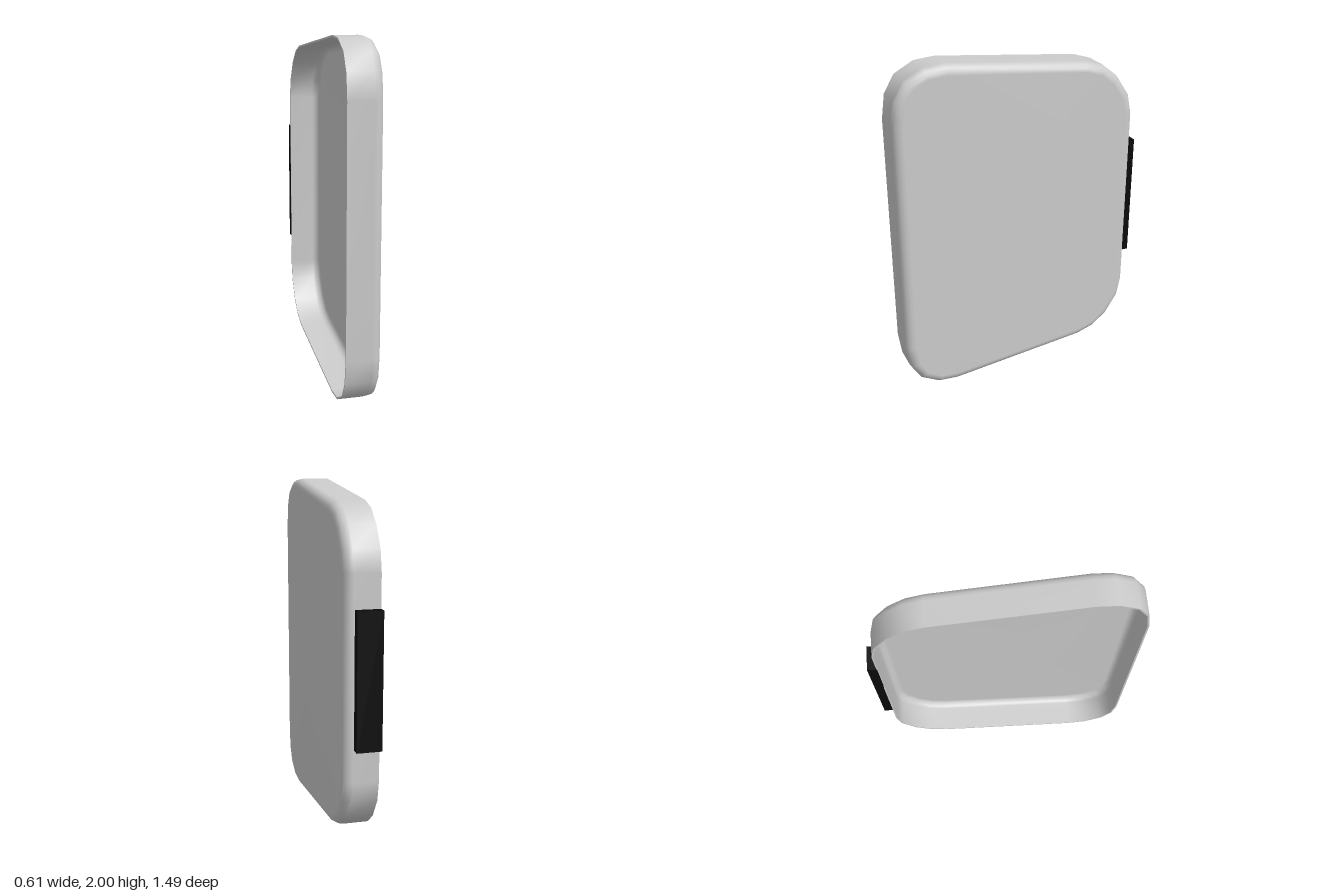
import * as THREE from 'three';

const DEPTH = 0.2, ROUND = 0.055, WALL = 0.01;

// Upper half of the rim outline as [along, height]; the lower half mirrors it about y = 1
const upper = [
  [0.73, 1.69], [0.71, 1.83], [0.65, 1.93], [0.54, 1.99], [0.42, 2.0],
  [-0.42, 1.91], [-0.53, 1.875], [-0.625, 1.8], [-0.705, 1.68], [-0.73, 1.56],
];
const outline = [...upper, ...upper.map(([u, y]) => [u, 2 - y]).reverse()]
  .map(([u, y]) => new THREE.Vector2(u, y));

// Outline moved inward by d, keeping its edges parallel
function inset(d) {
  const n = outline.length;
  return outline.map((p, i) => {
    const e0 = p.clone().sub(outline[(i + n - 1) % n]).normalize();
    const e1 = outline[(i + 1) % n].clone().sub(p).normalize();
    const n0 = new THREE.Vector2(-e0.y, e0.x), n1 = new THREE.Vector2(-e1.y, e1.x);
    return p.clone().addScaledVector(n0.clone().add(n1), d / (1 + n0.dot(n1)));
  });
}

// Wall section as [inset, depth], from the rim round to the floor
function section(offset) {
  const pts = [[offset, 0]], r = ROUND - offset;
  for (let k = 0; k <= 4; k++) {
    const a = (k / 4) * Math.PI / 2;
    pts.push([offset + r * (1 - Math.cos(a)), DEPTH - ROUND + r * Math.sin(a)]);
  }
  return pts;
}

// Inner skin, rim and outer skin lofted as one closed shell
function shellGeometry() {
  const inner = section(WALL).reverse(), outer = section(0);
  // the rim rings are doubled so that its edges stay sharp
  const rings = [...inner, [WALL, 0], [0, 0], ...outer];
  const n = outline.length, pos = [], idx = [];
  for (const [d, x] of rings) for (const p of inset(d)) pos.push(x, p.y, p.x);
  for (let i = 0; i < rings.length - 1; i++) {
    if (rings[i][0] === rings[i + 1][0] && rings[i][1] === rings[i + 1][1]) continue;
    for (let j = 0; j < n; j++) {
      const k = (j + 1) % n, a = i * n, b = a + n;
      idx.push(a + j, b + k, a + k, a + j, b + j, b + k);
    }
  }
  // floor faces, inside and outside
  const c = rings.length * n, last = c - n;
  pos.push(DEPTH - WALL, 1, 0, DEPTH, 1, 0);
  for (let j = 0; j < n; j++) {
    const k = (j + 1) % n;
    idx.push(c, j, k, c + 1, last + k, last + j);
  }
  const g = new THREE.BufferGeometry();
  g.setAttribute('position', new THREE.Float32BufferAttribute(pos, 3));
  g.setIndex(idx);
  g.computeVertexNormals();
  return g;
}

export function createModel() {
  const model = new THREE.Group();
  model.name = 'hingedCover';

  const shell = new THREE.Mesh(shellGeometry(),
    new THREE.MeshStandardMaterial({ color: 0xcccccc, side: THREE.DoubleSide }));
  shell.name = 'coverShell';

  // Black mounting block on the rear edge
  const block = new THREE.Mesh(new THREE.BoxGeometry(0.14, 0.75, 0.055),
    new THREE.MeshStandardMaterial({ color: 0x0a0a0a }));
  block.name = 'hingeBlock';
  block.position.set(0.07, 1, -0.7535);

  // The whole cover stands swung open about the vertical
  const cover = new THREE.Group();
  cover.name = 'cover';
  cover.add(shell, block);
  cover.rotation.y = 0.291;
  cover.position.set(-0.08, 0, 0.04);
  model.add(cover);
  return model;
}
